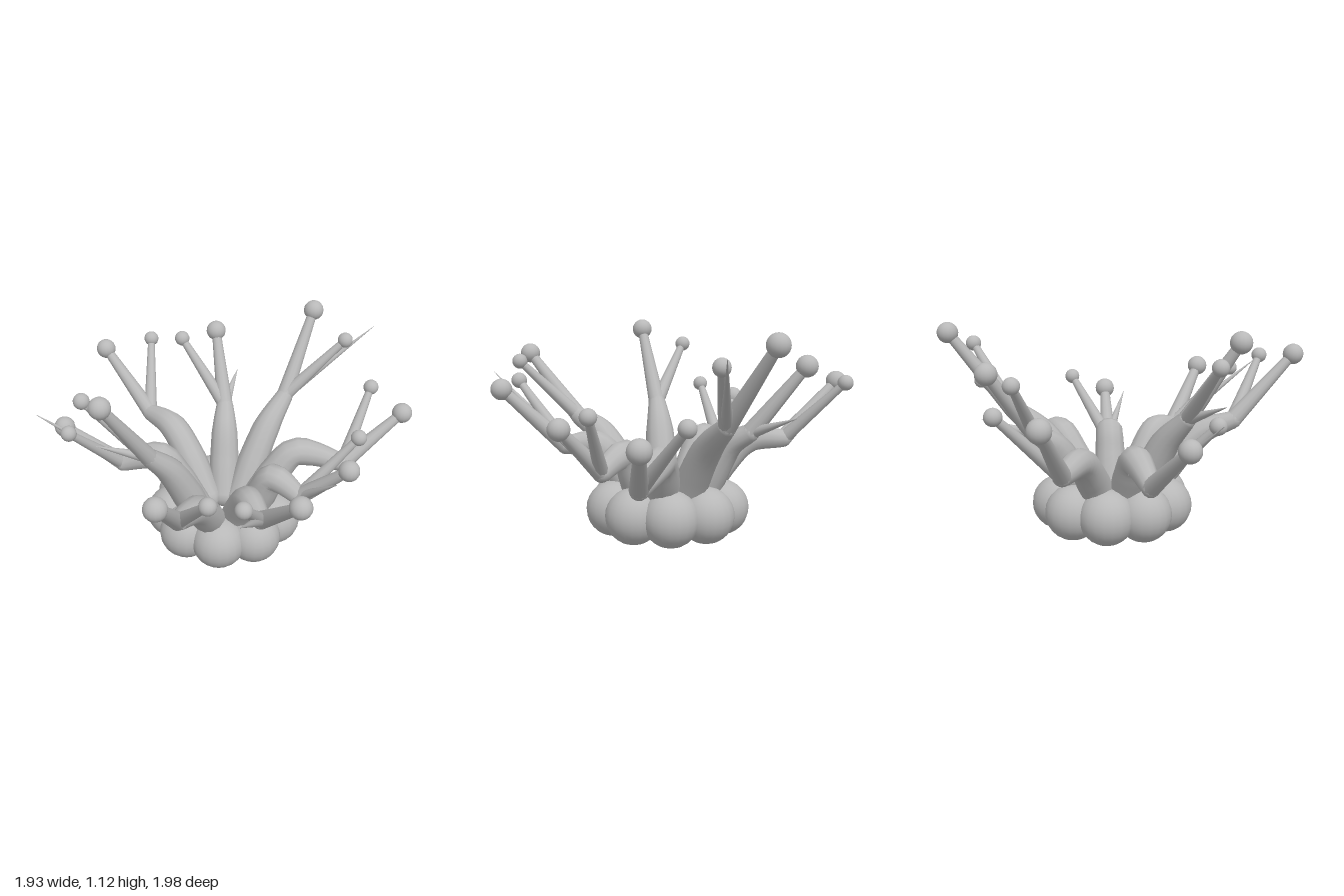
import * as THREE from 'three';

const CENTRE = new THREE.Vector3(0.005, 0, -0.105);

// Tube along points whose radius follows a list of evenly spaced values
function taperedTube(points, radii, segments, sides = 12) {
  const curve = new THREE.CatmullRomCurve3(points);
  const geo = new THREE.TubeGeometry(curve, segments, 1, sides, false);
  const pos = geo.attributes.position;
  const v = new THREE.Vector3();
  for (let i = 0; i <= segments; i++) {
    const centre = curve.getPointAt(i / segments);
    const f = (i / segments) * (radii.length - 1);
    const k = Math.min(Math.floor(f), radii.length - 2);
    const r = THREE.MathUtils.lerp(radii[k], radii[k + 1], f - k);
    for (let j = 0; j <= sides; j++) {
      const n = i * (sides + 1) + j;
      v.fromBufferAttribute(pos, n).sub(centre).multiplyScalar(r).add(centre);
      pos.setXYZ(n, v.x, v.y, v.z);
    }
  }
  return geo;
}

// Four arm kinds: rise is [fraction of the way out, height]; then tip heights
const TALL = { rise: [[0, 0.15], [0.3, 0.36], [0.62, 0.53], [1, 0.65]], bigY: 1.06, smallY: 0.97 };
const UPRIGHT = { rise: [[0, 0.15], [0.3, 0.33], [0.63, 0.5], [1, 0.57]], bigY: 0.92, smallY: 0.89 };
const BENT = { rise: [[0, 0.15], [0.3, 0.36], [0.58, 0.48], [1, 0.475]], bigY: 0.78, smallY: 0.8 };
const ARCHED = { rise: [[0, 0.15], [0.27, 0.35], [0.47, 0.465], [0.68, 0.45], [1, 0.39]], bigY: 0.64, smallY: 0.72 };

// Each arm: kind, plan positions [x, z] of fork and tips, optional spike point and sideways bow
const ARMS = [
  { kind: BENT, fork: [-0.57, -0.48], big: [-0.9, -0.63], small: [-0.67, -0.8] },
  { kind: UPRIGHT, fork: [-0.12, -0.54], big: [-0.25, -0.79], small: [-0.43, -0.69], spike: [-0.12, 0.67, -0.81] },
  { kind: TALL, fork: [0.22, -0.62], big: [0.3, -0.94], small: [0.52, -0.79], spike: [0.66, 1.02, -0.91] },
  { kind: ARCHED, fork: [0.62, -0.41], big: [0.9, -0.64], small: [0.7, -0.74], bow: -0.045 },
  { kind: ARCHED, fork: [0.45, -0.03], big: [0.71, 0.01], small: [0.72, -0.19], spike: [0.67, 0.62, 0.12] },
  { kind: BENT, fork: [0.33, 0.33], big: [0.57, 0.56], small: [0.33, 0.68], spike: [0.36, 0.84, 0.85] },
  { kind: UPRIGHT, fork: [-0.03, 0.57], big: [0, 0.93], small: [0.2, 0.81], bow: -0.02 },
  { kind: TALL, fork: [-0.31, 0.21], big: [-0.46, 0.44], small: [-0.64, 0.27], spike: [-0.55, 0.76, 0.34] },
  { kind: ARCHED, fork: [-0.58, -0.05], big: [-0.87, 0.05], small: [-0.76, 0.22], spike: [-0.97, 0.77, 0.17] },
];

// Trunk path from the foot out to the fork, rising by the arm's kind
function trunkPath({ kind, fork, bow = 0 }) {
  const end = new THREE.Vector3(fork[0], 0, fork[1]);
  const out = end.clone().sub(CENTRE).normalize();
  const side = new THREE.Vector3(-out.z, 0, out.x);
  const root = CENTRE.clone().addScaledVector(out, 0.155);
  return kind.rise.map(([t, y]) =>
    root.clone().lerp(end, t).addScaledVector(side, bow * Math.sin(Math.PI * t)).setY(y));
}

export function createModel() {
  const model = new THREE.Group();
  model.name = 'branchingPolyp';
  const grey = new THREE.MeshStandardMaterial({ color: 0xb8b8b8 });
  grey.name = 'plain grey';

  const add = (parent, name, geo, at) => {
    const mesh = new THREE.Mesh(geo, grey);
    mesh.name = name;
    if (at) mesh.position.copy(at);
    parent.add(mesh);
  };

  // Ring of nine overlapping lobes forming the foot
  const foot = new THREE.Group();
  foot.name = 'foot';
  model.add(foot);
  const lobeGeo = new THREE.SphereGeometry(0.148, 20, 14);
  for (let i = 0; i < 9; i++) {
    const a = THREE.MathUtils.degToRad(11 + i * 40);
    const offset = new THREE.Vector3(0.29 * Math.sin(a), 0.148, 0.29 * Math.cos(a));
    add(foot, 'footLobe', lobeGeo, offset.add(CENTRE));
  }

  // Nine forked arms with ball tips
  const bigBall = new THREE.SphereGeometry(0.057, 16, 12);
  const smallBall = new THREE.SphereGeometry(0.043, 16, 12);
  const jointBall = new THREE.SphereGeometry(0.049, 12, 8);
  const rootBall = new THREE.SphereGeometry(0.085, 12, 8);
  for (const spec of ARMS) {
    const arm = new THREE.Group();
    arm.name = 'arm';
    model.add(arm);
    const path = trunkPath(spec);
    const fork = path[path.length - 1];
    const big = new THREE.Vector3(spec.big[0], spec.kind.bigY, spec.big[1]);
    const small = new THREE.Vector3(spec.small[0], spec.kind.smallY, spec.small[1]);
    add(arm, 'armRoot', rootBall, path[0]);
    add(arm, 'trunk', taperedTube(path, [0.085, 0.088, 0.078, 0.05], 18));
    add(arm, 'forkJoint', jointBall, fork);
    add(arm, 'mainBranch', taperedTube([fork, big], [0.048, 0.026], 4));
    add(arm, 'mainTip', bigBall, big);
    add(arm, 'sideBranch', taperedTube([fork, small], [0.04, 0.02], 4));
    add(arm, 'sideTip', smallBall, small);
    if (spec.spike) {
      add(arm, 'spike', taperedTube([fork, new THREE.Vector3(...spec.spike)], [0.034, 0.001], 4));
    }
  }
  return model;
}
